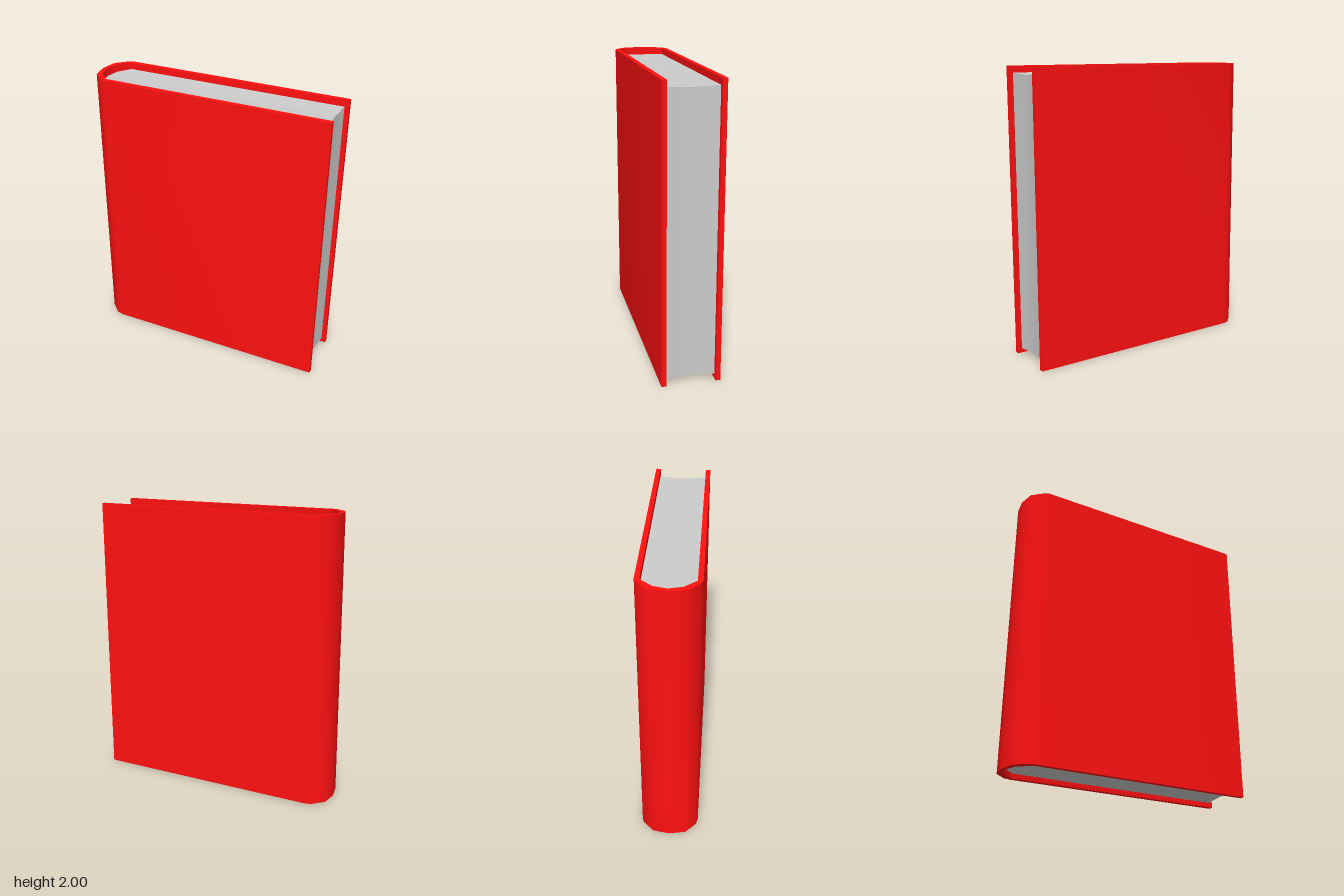
import * as THREE from 'three';
import { toCreasedNormals } from 'three/addons/utils/BufferGeometryUtils.js';

const HEIGHT = 2;

// The spine leans outward slightly towards the bottom.
const lean = (x, y) => (x < -0.73 ? x - 0.02 * (1 - y / HEIGHT) : x);

function finish(geometry, name, color) {
  const mesh = new THREE.Mesh(
    toCreasedNormals(geometry, 0.75),
    new THREE.MeshStandardMaterial({ color })
  );
  mesh.name = name;
  return mesh;
}

// Both boards and the faceted spine as one extruded U-shaped outline.
function makeCover() {
  const outer = [[0.865, 0.2], [-0.72, 0.2], [-0.75, 0.19], [-0.83, 0.115], [-0.85, 0]];
  const inner = [[0.865, 0.167], [-0.725, 0.167], [-0.795, 0.09], [-0.82, 0]];
  const mirrored = (half) => [
    ...half,
    ...half.slice(0, -1).reverse().map(([x, z]) => [x, -z]),
  ];
  const outline = [...mirrored(outer), ...mirrored(inner).reverse()];
  const shape = new THREE.Shape(outline.map(([x, z]) => new THREE.Vector2(x, z)));
  const geometry = new THREE.ExtrudeGeometry(shape, { depth: HEIGHT, bevelEnabled: false });
  geometry.rotateX(-Math.PI / 2);

  const p = geometry.attributes.position;
  for (let i = 0; i < p.count; i++) p.setX(i, lean(p.getX(i), p.getY(i)));
  return finish(geometry, 'cover', 0xff1010);
}

// Page block: rounded at the spine, hollowed at the fore edge, dipped along the middle.
function makePages() {
  const stations = [ // [z, spine x, fore-edge x, dip]
    [0, -0.82, 0.82, 0.01],
    [0.09, -0.795, 0.828, 0.005],
    [0.167, -0.725, 0.835, 0],
  ];
  const geometry = new THREE.BoxGeometry(2, 2, 4, 1, 1, 4);
  const p = geometry.attributes.position;
  for (let i = 0; i < p.count; i++) {
    const step = Math.round(p.getZ(i));
    const [z, spineX, foreX, dip] = stations[Math.abs(step)];
    const y = p.getY(i) > 0 ? 1.955 - dip : 0.033 + dip;
    const x = p.getX(i) > 0 ? foreX : spineX;
    p.setXYZ(i, lean(x, y), y, Math.sign(step) * z);
  }
  return finish(geometry, 'pages', 0xcccccc);
}

export function createModel() {
  const book = new THREE.Group();
  book.name = 'book';
  book.add(makeCover(), makePages());
  return book;
}
